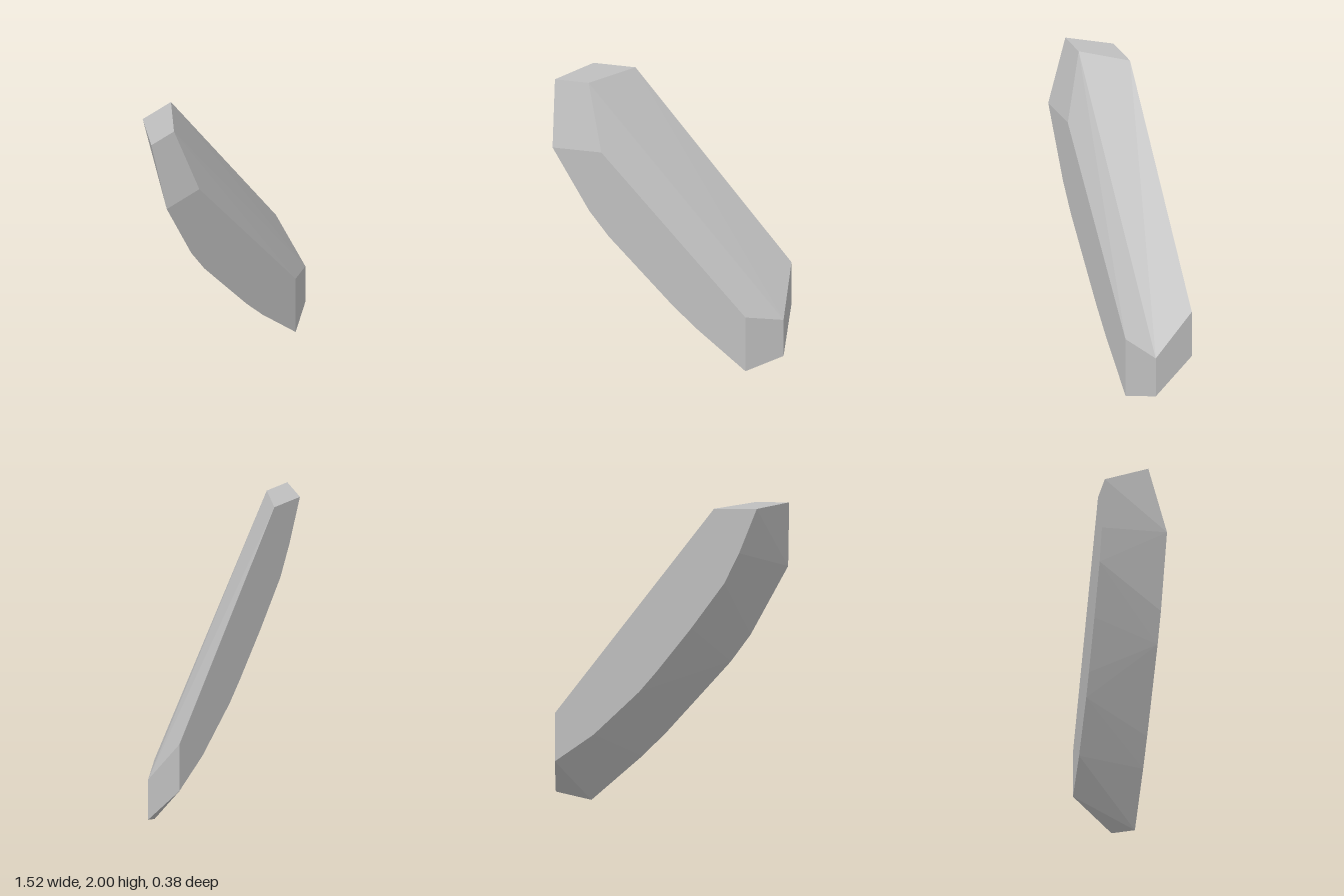
import * as THREE from 'three';
import { ConvexGeometry } from 'three/addons/geometries/ConvexGeometry.js';

export function createModel() {
  const group = new THREE.Group();
  group.name = 'facetedSlab';
  const grey = new THREE.MeshStandardMaterial({ color: 0xbfbfbf });
  grey.name = 'grey';

  // Flat back outline, with its curved lower edge
  const back = [
    [-0.56, 2], [-0.28, 2], [0.76, 0.64], [0.76, 0.32], [0.507, 0.498], [0.21, 0.782],
    [0.099, 0.913], [-0.13, 1.205], [-0.347, 1.505], [-0.444, 1.706],
  ].map(([x, y]) => [x, y, -0.19]);

  // Chamfered end corners, part way forward
  const ends = [[-0.765, 2], [-0.54, 2], [0.76, 0.35], [0.76, 0.075]]
    .map(([x, y]) => [x, y, 0.065]);

  // Front face, tilting back very slightly towards the lower end
  const front = [
    [-0.755, 1.555], [-0.43, 1.555], [0.53, 0.41], [0.53, 0], [0.2, 0.29],
    [0.04, 0.45], [-0.38, 0.92], [-0.51, 1.1],
  ].map(([x, y]) => [x, y, 0.186 - 0.006 * x]);

  // The body is the convex solid spanning the three outlines
  const points = [...back, ...ends, ...front].map((p) => new THREE.Vector3(...p));
  const body = new THREE.Mesh(new ConvexGeometry(points), grey);
  body.name = 'slabBody';
  group.add(body);
  return group;
}
